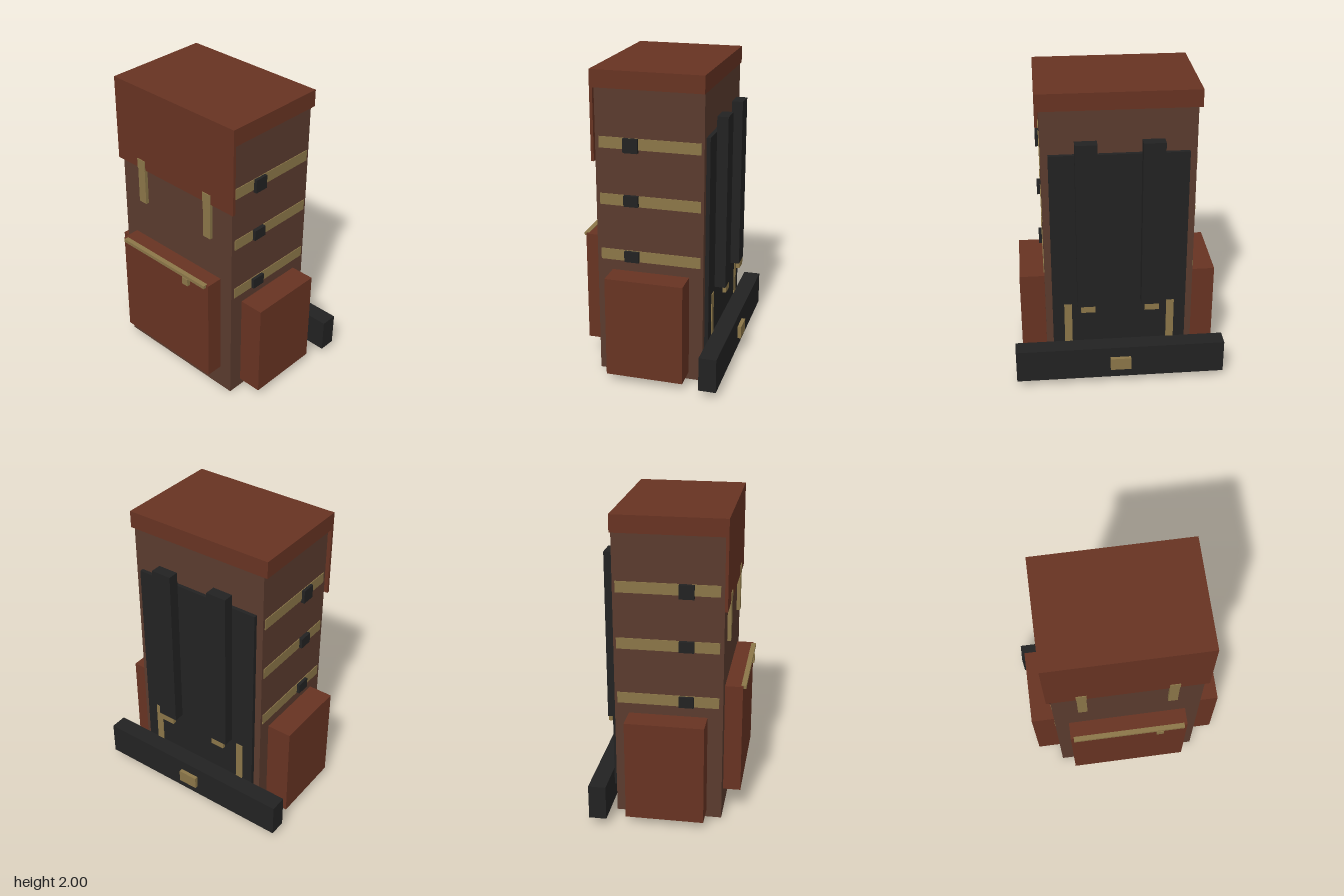
import * as THREE from 'three';

const material = (name, color) => {
  const m = new THREE.MeshStandardMaterial({ color });
  m.name = name;
  return m;
};

export function createModel() {
  const leather = material('russet leather', 0x673322);
  const canvas = material('brown canvas', 0x5a3b2e);
  const webbing = material('tan webbing', 0x8b7648);
  const padding = material('black padding', 0x222222);

  const group = new THREE.Group();
  group.name = 'backpack';

  // Box given by its extents on each axis
  const box = (name, mat, [x0, x1], [y0, y1], [z0, z1]) => {
    const mesh = new THREE.Mesh(new THREE.BoxGeometry(x1 - x0, y1 - y0, z1 - z0), mat);
    mesh.position.set((x0 + x1) / 2, (y0 + y1) / 2, (z0 + z1) / 2);
    mesh.name = name;
    group.add(mesh);
  };
  // The same box on the left (+x) and right (-x)
  const pair = (name, mat, [x0, x1], y, z) => {
    box(name + 'Left', mat, [x0, x1], y, z);
    box(name + 'Right', mat, [-x1, -x0], y, z);
  };

  // Main bag, lid and front flap
  box('body', canvas, [-0.48, 0.48], [0, 1.95], [-0.33, 0.36]);
  box('lid', leather, [-0.505, 0.505], [1.89, 2], [-0.335, 0.38]);
  box('frontFlap', leather, [-0.505, 0.505], [1.43, 1.89], [0.361, 0.38]);
  pair('flapStrapUpper', webbing, [0.255, 0.322], [1.43, 1.495], [0.38, 0.385]);
  pair('flapStrapLower', webbing, [0.258, 0.319], [1.178, 1.43], [0.36, 0.383]);

  // Front pocket with zipper
  box('frontPocket', leather, [-0.39, 0.388], [0.165, 0.9], [0.36, 0.473]);
  box('zipper', webbing, [-0.37, 0.368], [0.88, 0.902], [0.46, 0.492]);
  box('zipperPull', webbing, [0.18, 0.228], [0.83, 0.88], [0.473, 0.497]);

  // Side pockets
  pair('sidePocket', leather, [0.48, 0.643], [0.05, 0.715], [-0.24, 0.263]);

  // Side compression straps and buckles
  [[1.515, 1.497], [1.15, 1.153], [0.783, 0.783]].forEach(([strapY, buckleY], i) => {
    const buckleTop = buckleY + (i === 0 ? 0.09 : 0.07);
    pair('sideStrap' + i, webbing, [0.48, 0.485], [strapY, strapY + 0.072], [-0.312, 0.335]);
    pair('sideBuckle' + i, padding, [0.48, 0.505], [buckleY, buckleTop], [0.083, 0.177]);
  });

  // Back panel and shoulder straps
  box('backPanel', padding, [-0.435, 0.435], [0.165, 1.612], [-0.355, -0.33]);
  pair('shoulderStrap', padding, [0.138, 0.275], [0.578, 1.705], [-0.426, -0.355]);
  pair('shoulderStrapEnd', webbing, [0.16, 0.253], [0.535, 0.578], [-0.426, -0.402]);
  pair('lowerWebbing', webbing, [0.31, 0.36], [0.165, 0.56], [-0.36, -0.355]);

  // Hip belt and its buckle
  box('hipBelt', padding, [-0.69, 0.688], [0.05, 0.277], [-0.47, -0.357]);
  box('hipBuckle', webbing, [-0.068, 0.067], [0.12, 0.205], [-0.495, -0.47]);

  return group;
}
